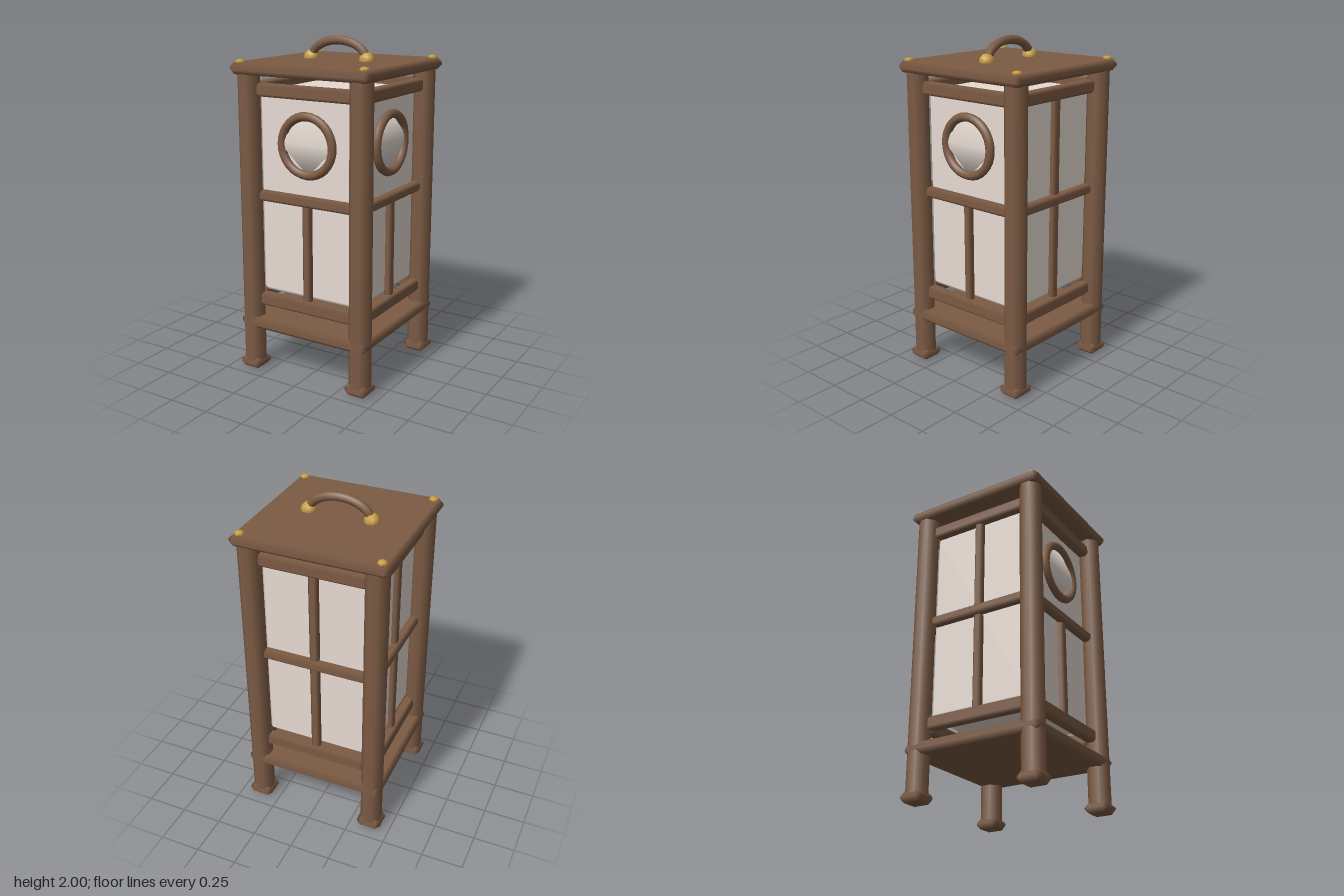
import * as THREE from 'three';
import { ConvexGeometry } from 'three/addons/geometries/ConvexGeometry.js';

// Box with chamfered edges, flat faces and softly shaded bevels
function bevelBox(w, h, d, c) {
  const half = [w / 2, h / 2, d / 2];
  const points = [];
  for (let axis = 0; axis < 3; axis++)
    for (const sx of [-1, 1]) for (const sy of [-1, 1]) for (const sz of [-1, 1]) {
      const s = [sx, sy, sz];
      points.push(new THREE.Vector3(...half.map((v, i) => s[i] * (i === axis ? v : v - c))));
    }
  const geo = new ConvexGeometry(points);
  const pos = geo.attributes.position, normal = geo.attributes.normal;
  for (let i = 0; i < pos.count; i++) {
    const p = [pos.getX(i), pos.getY(i), pos.getZ(i)];
    normal.setXYZ(i, ...p.map((v, k) => (Math.abs(v) > half[k] - c * 0.5 ? Math.sign(v) : 0)));
  }
  return geo;
}

export function createModel() {
  const wood = new THREE.MeshStandardMaterial({ name: 'wood brown', color: 0x7c5b44 });
  const paper = new THREE.MeshStandardMaterial({ name: 'paper white', color: 0xe8dcd4 });
  const brass = new THREE.MeshStandardMaterial({ name: 'brass', color: 0xc79e42 });
  const model = new THREE.Group();
  model.name = 'lantern';

  function add(parent, name, geo, mat, x, y, z) {
    const mesh = new THREE.Mesh(geo, mat);
    mesh.name = name;
    mesh.position.set(x, y, z);
    parent.add(mesh);
    return mesh;
  }

  // Top plate, lower shelf and the paper shade
  add(model, 'topPlate', bevelBox(0.914, 0.068, 0.914, 0.028), wood, 0, 1.828, 0);
  add(model, 'shelf', bevelBox(0.874, 0.072, 0.874, 0.028), wood, 0, 0.303, 0);
  add(model, 'paperShade', bevelBox(0.67, 1.21, 0.67, 0.028), paper, 0, 1.093, 0);

  // Octagonal corner posts, feet and studs
  for (const x of [-1, 1]) for (const z of [-1, 1]) {
    const post = new THREE.CylinderGeometry(0.066, 0.066, 1.78, 8);
    post.rotateY(Math.PI / 8);
    add(model, 'post', post, wood, x * 0.371, 0.92, z * 0.371);
    add(model, 'foot', bevelBox(0.15, 0.064, 0.15, 0.028), wood, x * 0.371, 0.033, z * 0.371);
    const stud = new THREE.SphereGeometry(0.03, 6, 4);
    stud.rotateY(Math.PI / 6);
    stud.scale(1, 0.65, 1);
    add(model, 'stud', stud, brass, x * 0.404, 1.86, z * 0.404);
  }

  // Four sides: front and left have a round window, the others a full grid
  ['front', 'left', 'back', 'right'].forEach((side, i) => {
    const group = new THREE.Group();
    group.name = side + 'Side';
    group.position.x = 0.004;
    group.rotation.y = i * Math.PI / 2;
    model.add(group);
    add(group, 'topRail', bevelBox(0.64, 0.075, 0.07, 0.016), wood, 0, 1.709, 0.358);
    add(group, 'middleRail', bevelBox(0.64, 0.06, 0.066, 0.018), wood, 0, 1.092, 0.358);
    add(group, 'bottomRail', bevelBox(0.64, 0.077, 0.07, 0.016), wood, 0, 0.452, 0.358);
    add(group, 'lowerBar', bevelBox(0.056, 0.6, 0.05, 0.016), wood, 0, 0.77, 0.347);
    if (i < 2) {
      add(group, 'windowRing', new THREE.TorusGeometry(0.168, 0.026, 8, 32), wood, 0, 1.409, 0.347);
      // Shallow diamond pane with a horizontal front ridge
      const pane = new THREE.SphereGeometry(0.18, 4, 2);
      pane.rotateY(Math.PI / 4);
      pane.scale(1.414, 1, 0.16);
      add(group, 'windowPane', pane, paper, 0, 1.417, 0.337);
    } else {
      add(group, 'upperBar', bevelBox(0.056, 0.58, 0.05, 0.016), wood, 0, 1.4, 0.347);
    }
  });

  // Carrying handle with brass mounts
  const arc = [];
  for (let k = 0; k <= 12; k++) {
    const a = Math.PI * (1 - k / 12);
    arc.push(new THREE.Vector3(0.185 * Math.cos(a), 0.11 * Math.sin(a), 0));
  }
  add(model, 'handle', new THREE.TubeGeometry(new THREE.CatmullRomCurve3(arc), 20, 0.026, 8), wood, 0, 1.864, 0);
  for (const x of [-0.188, 0.188]) {
    const mount = new THREE.SphereGeometry(0.046, 8, 6);
    mount.rotateY(Math.PI / 8);
    add(model, 'handleMount', mount, brass, x, 1.868, 0);
  }
  return model;
}
